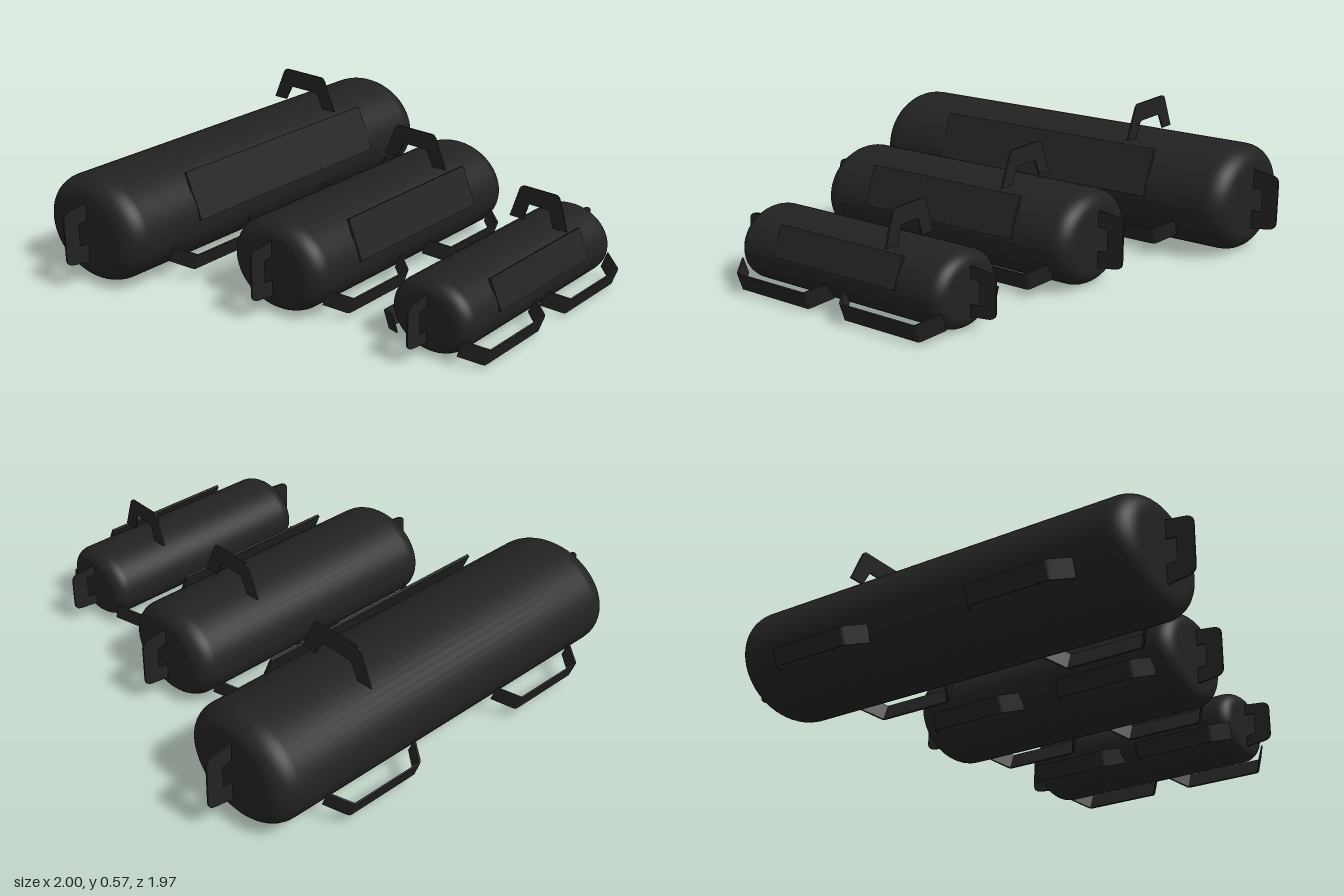
import * as THREE from 'three';

const fabric = new THREE.MeshStandardMaterial({ color: 0x222222 });
fabric.name = 'black fabric';

// U-shaped strap: outer and inner half widths at base and tip, with softened outer corners
function strap(name, { base, tip, height, inBase, inTip, inHeight, soft }, depth) {
  const s = new THREE.Shape();
  const sx = tip + (base - tip) * (soft / height);
  s.moveTo(base, 0);
  s.lineTo(sx, height - soft);
  s.quadraticCurveTo(tip, height, tip - soft * 0.8, height);
  s.lineTo(-tip + soft * 0.8, height);
  s.quadraticCurveTo(-tip, height, -sx, height - soft);
  s.lineTo(-base, 0);
  s.lineTo(-inBase, 0);
  s.lineTo(-inTip, inHeight);
  s.lineTo(inTip, inHeight);
  s.lineTo(inBase, 0);
  s.closePath();
  const g = new THREE.ExtrudeGeometry(s, { depth, bevelEnabled: false, curveSegments: 5 });
  g.translate(0, 0, -depth / 2);
  const mesh = new THREE.Mesh(g, fabric);
  mesh.name = name;
  return mesh;
}

// Cylinder with rounded ends lying along x, squashed to an oval section
function bagBody(len, halfY, halfZ, r) {
  const pts = [new THREE.Vector2(0, -len)];
  const arc = (cx, from) => {
    for (let i = 0; i <= 8; i++) {
      const a = from + (i / 8) * Math.PI / 2;
      pts.push(new THREE.Vector2(1 - r / halfZ + Math.cos(a) * r / halfZ, cx + Math.sin(a) * r));
    }
  };
  arc(-len + r, -Math.PI / 2);
  arc(len - r, 0);
  pts.push(new THREE.Vector2(0, len));
  const g = new THREE.LatheGeometry(pts, 56);
  g.rotateZ(-Math.PI / 2);
  g.scale(1, halfY, halfZ);
  g.computeVertexNormals();
  const mesh = new THREE.Mesh(g, fabric);
  mesh.name = 'bagBody';
  return mesh;
}

function bag(p) {
  const bagGroup = new THREE.Group();
  bagGroup.name = p.name;
  bagGroup.position.z = p.z;
  const body = bagBody(p.len, p.halfY, p.halfZ, p.round);
  body.position.y = p.halfY;
  bagGroup.add(body);

  // Flat panel on the upper front
  const [z0, y0, z1, y1] = p.panel;
  const panel = new THREE.Mesh(
    new THREE.BoxGeometry(p.panelHalf * 2, Math.hypot(z1 - z0, y1 - y0), 0.012), fabric);
  panel.name = 'frontPanel';
  panel.position.set(0, (y0 + y1) / 2, (z0 + z1) / 2);
  panel.rotation.x = -Math.atan2(z1 - z0, y0 - y1);
  bagGroup.add(panel);

  // Carry handle standing across the top
  const top = strap('topHandle', p.top, 0.007);
  top.rotation.y = Math.PI / 2;
  top.position.set(p.topX, p.topY - p.top.height, 0);
  bagGroup.add(top);

  // Grab handles on both ends
  for (const s of [-1, 1]) {
    const end = strap('endHandle', {
      base: p.endHalf, tip: p.endHalf * 0.88, height: 0.115,
      inBase: 0.05, inTip: 0.046, inHeight: 0.045, soft: 0.035,
    }, 0.007);
    end.rotation.z = -s * Math.PI / 2;
    end.position.set(s * (p.len - 0.005), p.halfY, 0);
    bagGroup.add(end);
  }

  // Low ribbon loops, two along the front and two along the back
  const tilt = THREE.MathUtils.degToRad(20);
  const h = 0.09;
  for (const turn of [0, Math.PI]) {
    const side = new THREE.Group();
    side.name = turn ? 'backHandles' : 'frontHandles';
    side.rotation.y = turn;
    for (const s of [-1, 1]) {
      const loop = strap('sideHandle', {
        base: p.sideHalf + 0.015, tip: p.sideHalf - 0.04, height: h,
        inBase: p.sideHalf + 0.007, inTip: p.sideHalf - 0.046, inHeight: h - 0.007, soft: 0.012,
      }, 0.072);
      loop.rotation.x = Math.PI / 2 + tilt;
      loop.position.set(s * p.sideX, p.sideY + h * Math.sin(tilt), p.sideZ - h * Math.cos(tilt));
      side.add(loop);
    }
    bagGroup.add(side);
  }
  return bagGroup;
}

export function createModel() {
  const model = new THREE.Group();
  model.name = 'duffelBags';
  const bags = [
    {
      name: 'largeBag', z: -0.65, len: 0.89, halfY: 0.22, halfZ: 0.267, round: 0.09,
      panel: [0.195, 0.416, 0.275, 0.23], panelHalf: 0.533,
      top: { base: 0.18, tip: 0.115, height: 0.145, inBase: 0.112, inTip: 0.075, inHeight: 0.067, soft: 0.02 },
      topX: 0.39, topY: 0.57, endHalf: 0.127,
      sideX: 0.447, sideHalf: 0.207, sideY: 0.087, sideZ: 0.324,
    },
    {
      name: 'mediumBag', z: 0.087, len: 0.61, halfY: 0.188, halfZ: 0.229, round: 0.075,
      panel: [0.171, 0.358, 0.235, 0.2], panelHalf: 0.365,
      top: { base: 0.16, tip: 0.1, height: 0.14, inBase: 0.095, inTip: 0.06, inHeight: 0.067, soft: 0.02 },
      topX: 0.265, topY: 0.505, endHalf: 0.116,
      sideX: 0.305, sideHalf: 0.207, sideY: 0.064, sideZ: 0.28,
    },
    {
      name: 'smallBag', z: 0.738, len: 0.495, halfY: 0.147, halfZ: 0.179, round: 0.06,
      panel: [0.13, 0.274, 0.182, 0.158], panelHalf: 0.297,
      top: { base: 0.133, tip: 0.087, height: 0.14, inBase: 0.068, inTip: 0.048, inHeight: 0.07, soft: 0.02 },
      topX: 0.215, topY: 0.422, endHalf: 0.096,
      sideX: 0.262, sideHalf: 0.215, sideY: 0.045, sideZ: 0.233,
    },
  ];
  for (const b of bags) model.add(bag(b));
  return model;
}
